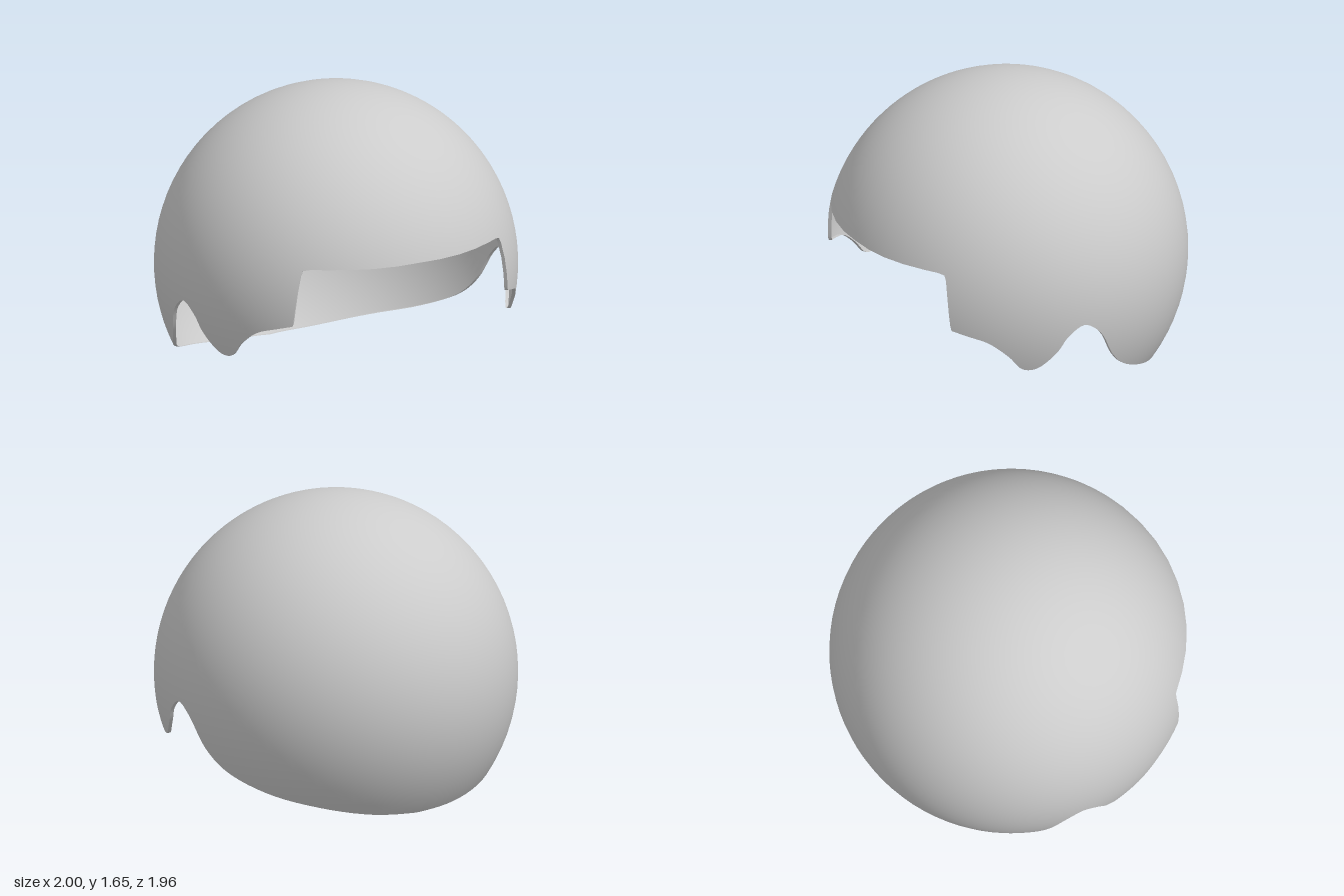
import * as THREE from 'three';

const CY = 0.64, CZ = 0.02, RY = 1.01, ROWS = 28;

// Rim of one half: [degrees from the front, height]
const brow = [[0, 0.915], [8, 0.912], [16, 0.91], [24, 0.91], [32, 0.91], [37, 0.908], [39.3, 0.9],
  [40, 0.87], [40.8, 0.78], [41.5, 0.68], [42, 0.61]];
const sideAndNape = [[42.4, 0.585], [48, 0.56], [54.3, 0.525], [60.7, 0.44], [65.3, 0.352], [69.9, 0.352],
  [76.5, 0.45], [80, 0.54], [85.4, 0.597], [91.2, 0.53], [97.2, 0.36], [103.8, 0.255],
  [118.7, 0.15], [138.7, 0.075], [160, 0.02], [180, 0.0]];

// Point on the dome for an azimuth and an angle down from the crown
function domePoint(az, polar) {
  const r = Math.sin(polar);
  return new THREE.Vector3(r * Math.sin(az), CY + RY * Math.cos(polar), CZ + r * Math.cos(az));
}

// Whole rim, the half curve mirrored, as [azimuth, polar]
function rimLoop() {
  const curve = new THREE.CatmullRomCurve3(
    sideAndNape.map(([a, y]) => new THREE.Vector3(a / 60, y, 0)));
  const half = brow.map(([a, y]) => [a, y])
    .concat(curve.getPoints(75).map(p => [p.x * 60, p.y]));
  const loop = half.map(([a, y]) => [a * Math.PI / 180, Math.acos((y - CY) / RY)]);
  const mirrored = loop.slice(0, -1).reverse().map(([a, p]) => [2 * Math.PI - a, p]);
  return loop.concat(mirrored);
}

// Surface from equal-length columns of points
function gridGeometry(columns) {
  const n = columns[0].length, pos = [], index = [];
  columns.forEach((col, i) => col.forEach((p, j) => {
    pos.push(p.x, p.y, p.z);
    if (i && j) {
      const d = i * n + j, b = d - n;
      index.push(b - 1, b, d, b - 1, d, d - 1);
    }
  }));
  const geo = new THREE.BufferGeometry();
  geo.setAttribute('position', new THREE.Float32BufferAttribute(pos, 3));
  geo.setIndex(index);
  geo.computeVertexNormals();
  return geo;
}

export function createModel() {
  const group = new THREE.Group();
  const shellGrey = new THREE.MeshStandardMaterial({ color: 0xcccccc, side: THREE.DoubleSide });
  shellGrey.name = 'shellGrey';
  const rim = rimLoop();

  // Open dome, cut off at the rim
  const dome = gridGeometry(rim.map(([az, polar]) =>
    Array.from({ length: ROWS + 1 }, (_, j) => domePoint(az, polar * j / ROWS))));
  const pos = dome.attributes.position, normal = dome.attributes.normal, v = new THREE.Vector3();
  for (let i = 0; i < pos.count; i++) {
    v.set(pos.getX(i), (pos.getY(i) - CY) / (RY * RY), pos.getZ(i) - CZ).normalize();
    normal.setXYZ(i, v.x, v.y, v.z);
  }
  const shell = new THREE.Mesh(dome, shellGrey);
  shell.name = 'shell';
  group.add(shell);

  // Narrow edge turned inwards along the rim
  const lip = new THREE.Mesh(gridGeometry(rim.map(([az, polar]) => {
    const p = domePoint(az, polar);
    return [p, new THREE.Vector3(p.x * 0.98, p.y, CZ + (p.z - CZ) * 0.98)];
  })), shellGrey);
  lip.name = 'rimLip';
  group.add(lip);
  return group;
}
